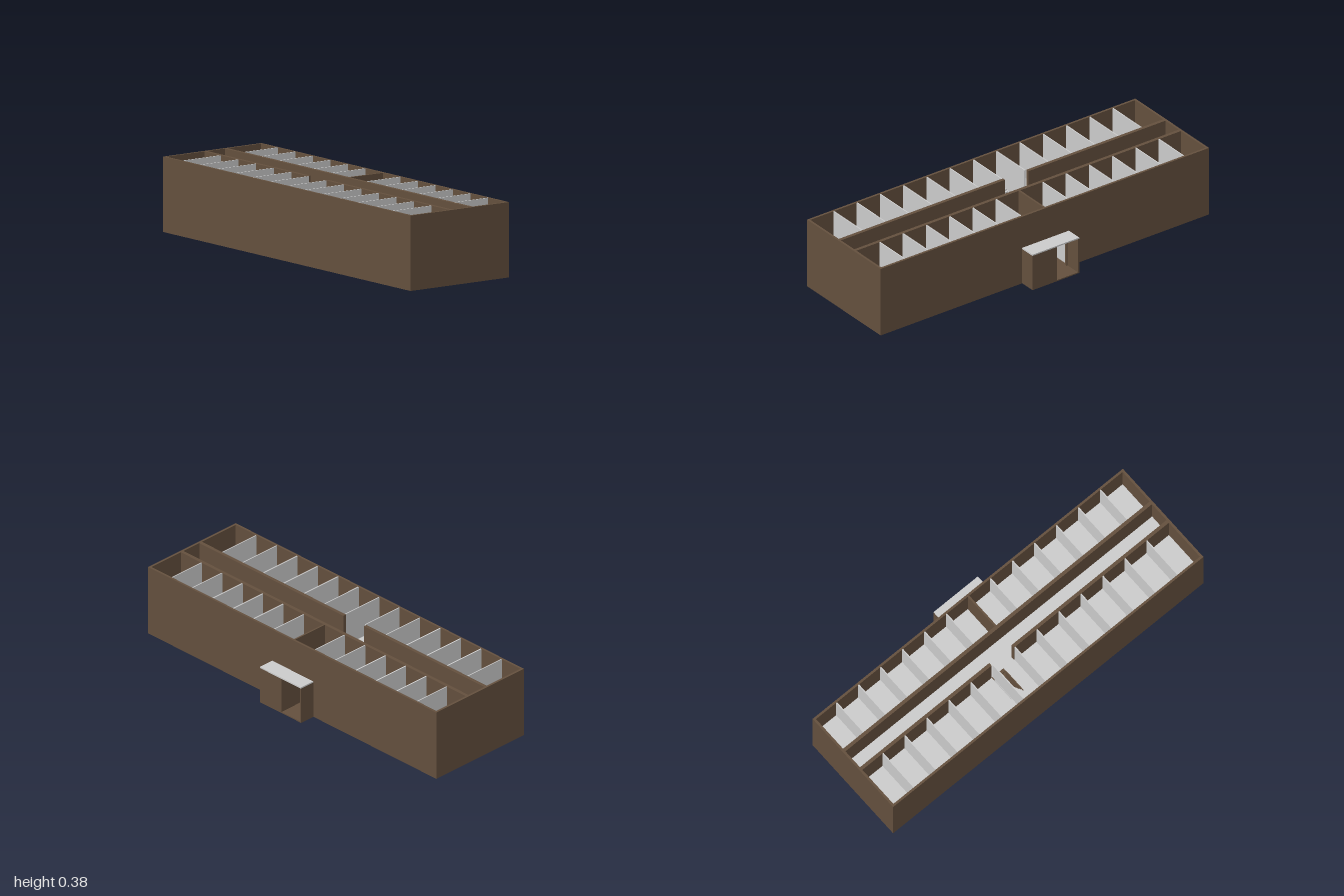
import * as THREE from 'three';

const brown = new THREE.MeshStandardMaterial({ color: 0x634f3d, name: 'brownWall' });
const grey = new THREE.MeshStandardMaterial({ color: 0xcacaca, name: 'lightGrey' });

// Box given by its lower and upper limits on each axis
function block(parent, name, material, [x0, x1], [y0, y1], [z0, z1]) {
  const mesh = new THREE.Mesh(new THREE.BoxGeometry(x1 - x0, y1 - y0, z1 - z0), material);
  mesh.position.set((x0 + x1) / 2, (y0 + y1) / 2, (z0 + z1) / 2);
  mesh.name = name;
  parent.add(mesh);
  return mesh;
}

export function createModel() {
  const model = new THREE.Group();
  model.name = 'twoStoreyBuilding';

  const top = 0.375, floor = 0.2, slab = 0.193, base = 0.006, t = 0.012;
  const back = -0.26, front = 0.345, porchBack = -0.345;
  const stairL = -0.155, stairM = -0.077, stairR = -0.005;
  const corridorBack = [-0.045, -0.027], corridorFront = [0.082, 0.1];

  // Outer shell
  const shell = new THREE.Group();
  shell.name = 'outerShell';
  model.add(shell);
  block(shell, 'groundFloor', brown, [-1, 1], [0, base], [back, front]);
  block(shell, 'frontWall', brown, [-1, 1], [base, top], [front - t, front]);
  for (const s of [-1, 1]) {
    const x = s * (1 - t / 2);
    block(shell, 'endWall', brown, [x - t / 2, x + t / 2], [base, top], [back + t, front - t]);
  }
  // Back wall with a doorway behind the porch
  block(shell, 'backWall', brown, [-1, -0.133], [base, top], [back, back + t]);
  block(shell, 'backWall', brown, [-0.012, 1], [base, top], [back, back + t]);
  block(shell, 'doorLintel', brown, [-0.133, -0.012], [slab, top], [back, back + t]);

  // Upper floor, leaving a stairwell open
  const z0 = back + t, z1 = front - t, x0 = -1 + t, x1 = 1 - t;
  const upper = new THREE.Group();
  upper.name = 'upperFloor';
  model.add(upper);
  block(upper, 'floorSlab', grey, [x0, stairL], [slab, floor], [z0, z1]);
  block(upper, 'floorSlab', grey, [stairM, x1], [slab, floor], [z0, z1]);
  block(upper, 'floorSlab', grey, [stairL, stairM], [slab, floor], [z0, 0.1]);
  block(upper, 'floorSlab', grey, [stairL, stairM], [slab, floor], [0.25, z1]);

  // Corridor walls on both storeys; the lobby and stair bays stay open
  const walls = new THREE.Group();
  walls.name = 'corridorWalls';
  model.add(walls);
  block(walls, 'backCorridorWall', brown, [x0, x1], [floor, top], corridorBack);
  for (const [a, b] of [[x0, stairL], [stairR - 0.006, x1]]) {
    block(walls, 'frontCorridorWall', brown, [a, b], [floor, top], corridorFront);
    block(walls, 'lowerFrontCorridorWall', brown, [a, b], [base, slab], corridorFront);
    block(walls, 'lowerBackCorridorWall', brown, [a, b], [base, slab], corridorBack);
  }

  // Thin room partitions, with one heavier cross wall at the middle
  const rooms = new THREE.Group();
  rooms.name = 'roomPartitions';
  model.add(rooms);
  for (let i = 1; i < 14; i++) {
    const x = -0.997 + i * 0.1417;
    const middle = i === 7;
    const w = middle ? 0.005 : 0.003;
    for (const [a, b] of [[base, slab], [floor, top]]) {
      block(rooms, middle ? 'crossWall' : 'backPartition', middle ? brown : grey,
        [x - w, x + w], [a, b], [z0, corridorBack[0]]);
      block(rooms, 'frontPartition', grey, [x - 0.003, x + 0.003], [a, b], [corridorFront[1], z1]);
    }
  }

  // Stairs rising towards the front
  const stairs = new THREE.Group();
  stairs.name = 'stairs';
  model.add(stairs);
  const steps = 10, run = 0.13 / steps, rise = (slab - base) / steps;
  for (let i = 0; i < steps; i++) {
    const y = base + (i + 1) * rise, z = 0.12 + i * run;
    block(stairs, 'tread', grey, [stairL + 0.004, stairM - 0.004], [y - 0.005, y], [z, z + run + 0.003]);
  }
  block(stairs, 'stairwellBeam', brown, [stairL, stairM - 0.004], [slab, floor + 0.002], [0.1, 0.117]);
  block(stairs, 'stairSideWall', brown, [stairM - 0.004, stairM], [base, floor + 0.002], [0.117, 0.25]);

  // Entrance porch at the back
  const porch = new THREE.Group();
  porch.name = 'porch';
  model.add(porch);
  block(porch, 'porchRoof', grey, [-0.147, 0.138], [slab, floor], [porchBack, back]);
  block(porch, 'porchFloor', brown, [-0.147, 0.138], [0, base], [porchBack, back]);
  block(porch, 'porchLeftWall', brown, [0.128, 0.138], [base, slab], [porchBack, back]);
  block(porch, 'porchRightWall', brown, [-0.147, -0.139], [base, slab], [porchBack, back]);
  block(porch, 'porchBackWall', brown, [-0.012, 0.128], [base, slab], [porchBack, porchBack + 0.01]);
  block(porch, 'porchInnerWall', brown, [-0.012, -0.002], [base, slab], [porchBack + 0.01, back]);

  return model;
}
